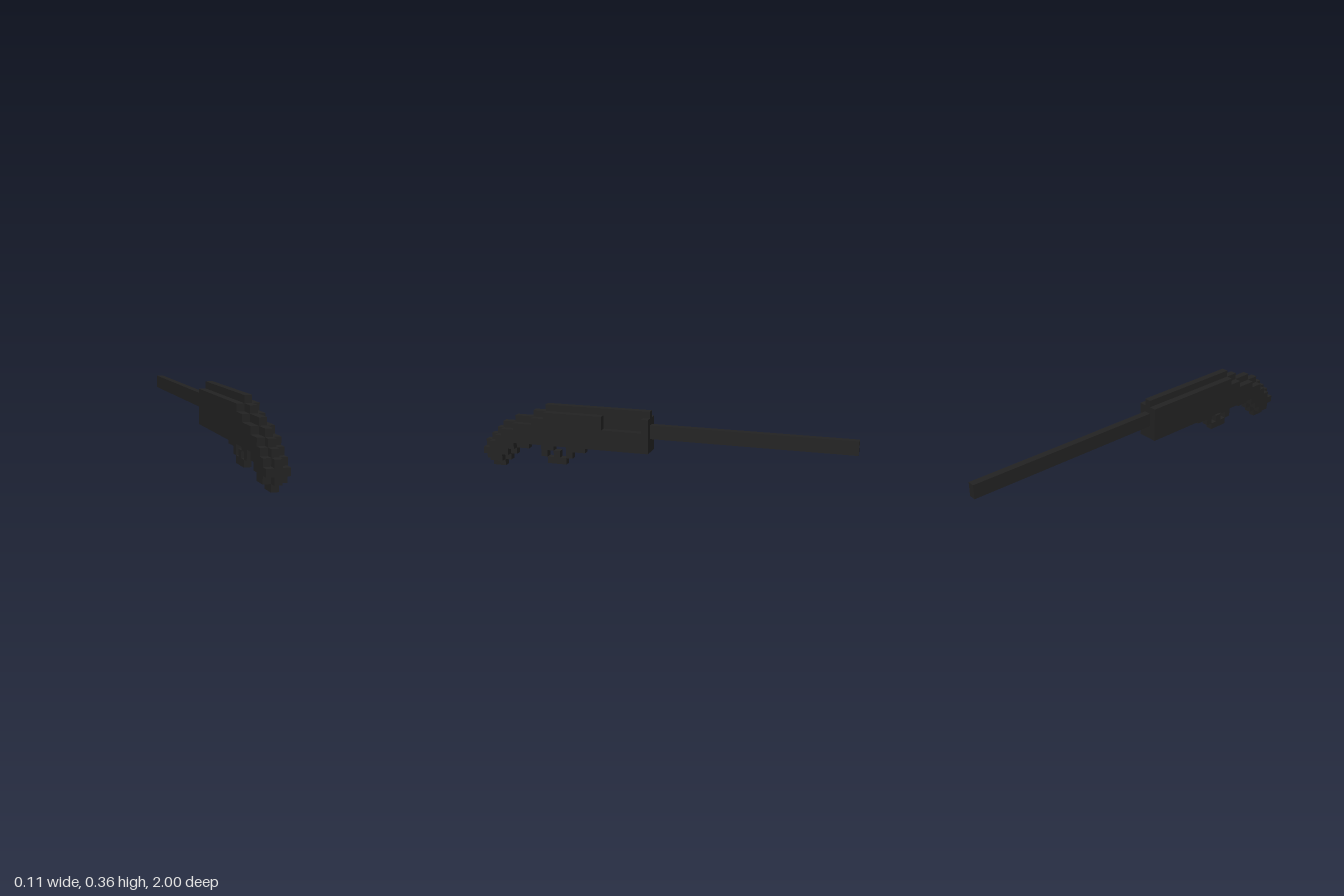
import * as THREE from 'three';

const U = 2 / 55; // one block; columns count from the butt (z = 1) towards the muzzle, rows count up

export function createModel() {
  const group = new THREE.Group();
  const gunmetal = new THREE.MeshStandardMaterial({ color: 0x222222 });
  gunmetal.name = 'gunmetal black';

  // Extrude a (column, row) outline sideways by one block, centred on block column x
  function slab(name, points, x) {
    const shape = new THREE.Shape(points.map(([c, r]) => new THREE.Vector2(c, r)));
    const geo = new THREE.ExtrudeGeometry(shape, { depth: 1, bevelEnabled: false });
    geo.translate(-27.5, 0, x - 0.5).rotateY(Math.PI / 2).scale(U, U, U);
    const mesh = new THREE.Mesh(geo, gunmetal);
    mesh.name = name;
    group.add(mesh);
  }

  // Block spanning columns c0..c1 and rows r0..r1, one block wide
  function block(name, c0, c1, r0, r1) {
    const mesh = new THREE.Mesh(new THREE.BoxGeometry(U, (r1 - r0) * U, (c1 - c0) * U), gunmetal);
    mesh.position.set(0, (r0 + r1) / 2 * U, 1 - (c0 + c1) / 2 * U);
    mesh.name = name;
    group.add(mesh);
  }

  // Stair outline from steps [first column, last column, height]
  const stairs = (steps) => steps.flatMap(([a, b, r]) => [[a, r], [b, r]]);
  const outline = (bottom, top) => [...stairs(bottom), ...stairs(top).reverse()];

  // Curved stock: full profile in the middle, one block thinner above and below at the sides
  const stockBottom = [[0, 1, 1], [1, 3, 0], [3, 4, 1], [4, 5, 2], [5, 7, 3], [7, 10, 4]];
  const stockTop = [[0, 1, 4], [1, 2, 5], [2, 3, 6], [3, 5, 7], [5, 8, 8], [8, 10, 9]];
  const sideBottom = stockBottom.map(([a, b, r]) => [a, b, Math.min(r + 1, 4)]);
  const sideTop = stockTop.map(([a, b, r]) => [a, b, r - 1]);
  slab('stockCore', outline(stockBottom, stockTop), 0);
  slab('stockLeft', outline(sideBottom, sideTop), 1);
  slab('stockRight', outline(sideBottom, sideTop), -1);

  // Receiver: raised rib and loading slot in the middle, ejection port on the left
  slab('receiverCore', outline([[10, 18, 4], [18, 24, 5], [24, 26, 4]], [[10, 26, 10]]), 0);
  slab('receiverLeft', outline([[10, 26, 4]], [[10, 19, 9], [19, 25, 7], [25, 26, 9]]), 1);
  slab('receiverRight', outline([[10, 26, 4]], [[10, 26, 9]]), -1);

  // Barrel
  block('barrel', 26, 55, 6, 8);

  // Trigger and guard
  block('triggerGuardRear', 9, 10, 2, 4);
  block('triggerGuardBottom', 10, 13, 1, 2);
  block('triggerGuardFront', 13, 14, 2, 3);
  block('triggerGuardMount', 13, 16, 3, 4);
  block('triggerTop', 10, 11, 3, 4);
  block('triggerTip', 11, 12, 2, 3);

  return group;
}
